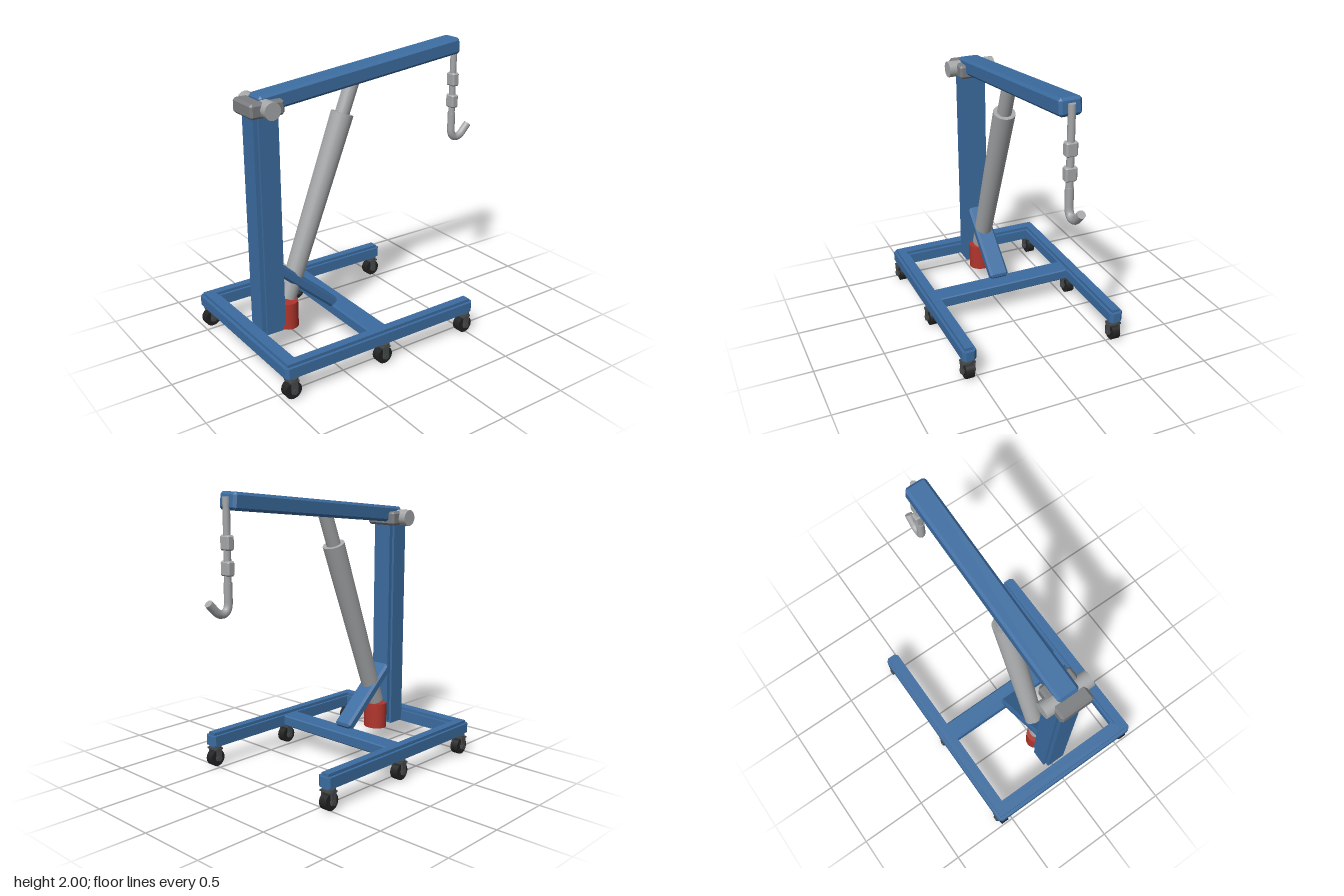
import * as THREE from 'three';
import { ConvexGeometry } from 'three/addons/geometries/ConvexGeometry.js';

const V = (x, y, z) => new THREE.Vector3(x, y, z);

// Box with every edge chamfered by b
function chamferBox(w, h, d, b) {
  const pts = [];
  for (const x of [-1, 1]) for (const y of [-1, 1]) for (const z of [-1, 1]) {
    const [X, Y, Z] = [w / 2, h / 2, d / 2];
    pts.push(V(x * X, y * (Y - b), z * (Z - b)), V(x * (X - b), y * Y, z * (Z - b)), V(x * (X - b), y * (Y - b), z * Z));
  }
  return new ConvexGeometry(pts);
}

// Upright prism with chamfered corners in plan
function chamferPlate(w, h, d, b) {
  const pts = [];
  for (const x of [-1, 1]) for (const y of [-1, 1]) for (const z of [-1, 1]) {
    pts.push(V(x * w / 2, y * h / 2, z * (d / 2 - b)), V(x * (w / 2 - b), y * h / 2, z * d / 2));
  }
  return new ConvexGeometry(pts);
}

export function createModel() {
  const material = (name, color) => {
    const m = new THREE.MeshStandardMaterial({ color });
    m.name = name;
    return m;
  };
  const blue = material('blue paint', 0x3b6ca0);
  const steel = material('light steel', 0xa5a7a9);
  const iron = material('hinge grey', 0x7b7d80);
  const red = material('red paint', 0xb0352c);
  const rubber = material('black rubber', 0x222222);
  const fork = material('dark fork grey', 0x474a4c);

  const model = new THREE.Group();
  model.name = 'workshopHoist';

  const add = (name, geo, mat, x = 0, y = 0, z = 0, parent = model) => {
    const mesh = new THREE.Mesh(geo, mat);
    mesh.name = name;
    mesh.position.set(x, y, z);
    parent.add(mesh);
    return mesh;
  };
  // Cylinder running between two points
  const rod = (name, a, b, ra, rb, mat, sides = 24) => {
    const dir = b.clone().sub(a);
    const mid = a.clone().add(b).multiplyScalar(0.5);
    const mesh = add(name, new THREE.CylinderGeometry(rb, ra, dir.length(), sides), mat, mid.x, mid.y, mid.z);
    mesh.quaternion.setFromUnitVectors(V(0, 1, 0), dir.normalize());
    return mesh;
  };

  // Base frame: stepped rails, a tall core inside a wider band
  const rail = (name, w, d, x, z) => {
    const g = new THREE.Group();
    g.name = name;
    g.position.set(x, 0.2, z);
    add('railCore', new THREE.BoxGeometry(w - 0.046, 0.11, d - 0.04), blue, 0, 0, 0, g);
    add('railBand', chamferPlate(w, 0.07, d, 0.022), blue, 0, 0, 0, g);
    model.add(g);
  };
  for (const s of [-1, 1]) rail(s > 0 ? 'leftLeg' : 'rightLeg', 1.54, 0.1, -0.225, s * 0.56);
  rail('rearBeam', 0.12, 1.22, -0.935, 0);
  add('crossBeam', chamferBox(0.146, 0.08, 1.06, 0.008), blue, -0.226, 0.195, 0);

  // Post: cross-shaped section
  add('postCore', new THREE.BoxGeometry(0.122, 1.56, 0.18), blue, -0.77, 0.96, 0);
  add('postBand', new THREE.BoxGeometry(0.18, 1.52, 0.142), blue, -0.77, 0.96, 0);

  // Diagonal brace from post to cross beam
  const brace = add('brace', chamferBox(0.6, 0.075, 0.142, 0.016), blue, -0.49, 0.432, 0);
  brace.rotation.z = -Math.atan2(0.37, 0.42);

  // Lifting boom
  const boom = add('boom', chamferBox(1.625, 0.115, 0.154, 0.018), blue, 0, 1.856, 0);
  boom.rotation.z = Math.atan(0.1125);

  // Boom hinge
  add('hingeBlock', chamferBox(0.245, 0.1, 0.24, 0.016), iron, -0.777, 1.746, 0);
  rod('hingePin', V(-0.776, 1.748, -0.175), V(-0.776, 1.748, 0.175), 0.058, 0.058, steel, 14);

  // Hydraulic ram
  rod('ramBody', V(-0.62, 0.37, 0), V(-0.152, 1.597, 0), 0.064, 0.078, steel);
  rod('ramPiston', V(-0.165, 1.565, 0), V(-0.055, 1.845, 0), 0.05, 0.05, steel);
  const pump = add('pumpBase', new THREE.CylinderGeometry(0.078, 0.078, 0.19, 24), red, -0.628, 0.257, 0);
  pump.scale.z = 1.16;

  // Chain and hook
  rod('chainRod', V(0.81, 1.44, 0), V(0.81, 1.97, 0), 0.024, 0.024, steel, 12);
  for (const y of [1.69, 1.53]) add('chainLink', chamferBox(0.058, 0.096, 0.08, 0.01), steel, 0.81, y, 0);
  const path = new THREE.CurvePath();
  path.add(new THREE.LineCurve3(V(0.81, 1.44, 0), V(0.81, 1.32, 0)));
  path.add(new THREE.CubicBezierCurve3(V(0.81, 1.32, 0), V(0.81, 1.23, 0), V(0.88, 1.235, 0), V(0.917, 1.275, 0)));
  path.add(new THREE.LineCurve3(V(0.917, 1.275, 0), V(0.968, 1.328, 0)));
  add('hook', new THREE.TubeGeometry(path, 30, 0.028, 12, false), steel);
  rod('hookTip', V(0.955, 1.3145, 0), V(0.969, 1.329, 0), 0.0278, 0.0278, steel, 12);
  rod('hookShoulder', V(0.81, 1.425, 0), V(0.81, 1.441, 0), 0.0278, 0.0278, steel, 12);

  // Casters
  const wheelGeo = new THREE.CylinderGeometry(0.06, 0.06, 0.058, 16).rotateX(Math.PI / 2);
  const hubGeo = new THREE.CylinderGeometry(0.02, 0.02, 0.104, 12).rotateX(Math.PI / 2);
  const sideGeo = new THREE.BoxGeometry(0.042, 0.085, 0.012);
  for (const x of [-0.935, -0.222, 0.49]) for (const z of [-0.562, 0.562]) {
    const c = new THREE.Group();
    c.name = 'caster';
    c.position.set(x, 0, z);
    add('wheel', wheelGeo, rubber, 0, 0.06, 0, c);
    add('axle', hubGeo, fork, 0, 0.06, 0, c);
    for (const s of [-1, 1]) add('forkSide', sideGeo, fork, 0, 0.087, s * 0.042, c);
    add('forkTop', new THREE.BoxGeometry(0.065, 0.012, 0.096), fork, 0, 0.13, 0, c);
    add('swivelPlate', new THREE.CylinderGeometry(0.046, 0.046, 0.014, 16), fork, 0, 0.14, 0, c);
    model.add(c);
  }
  return model;
}
